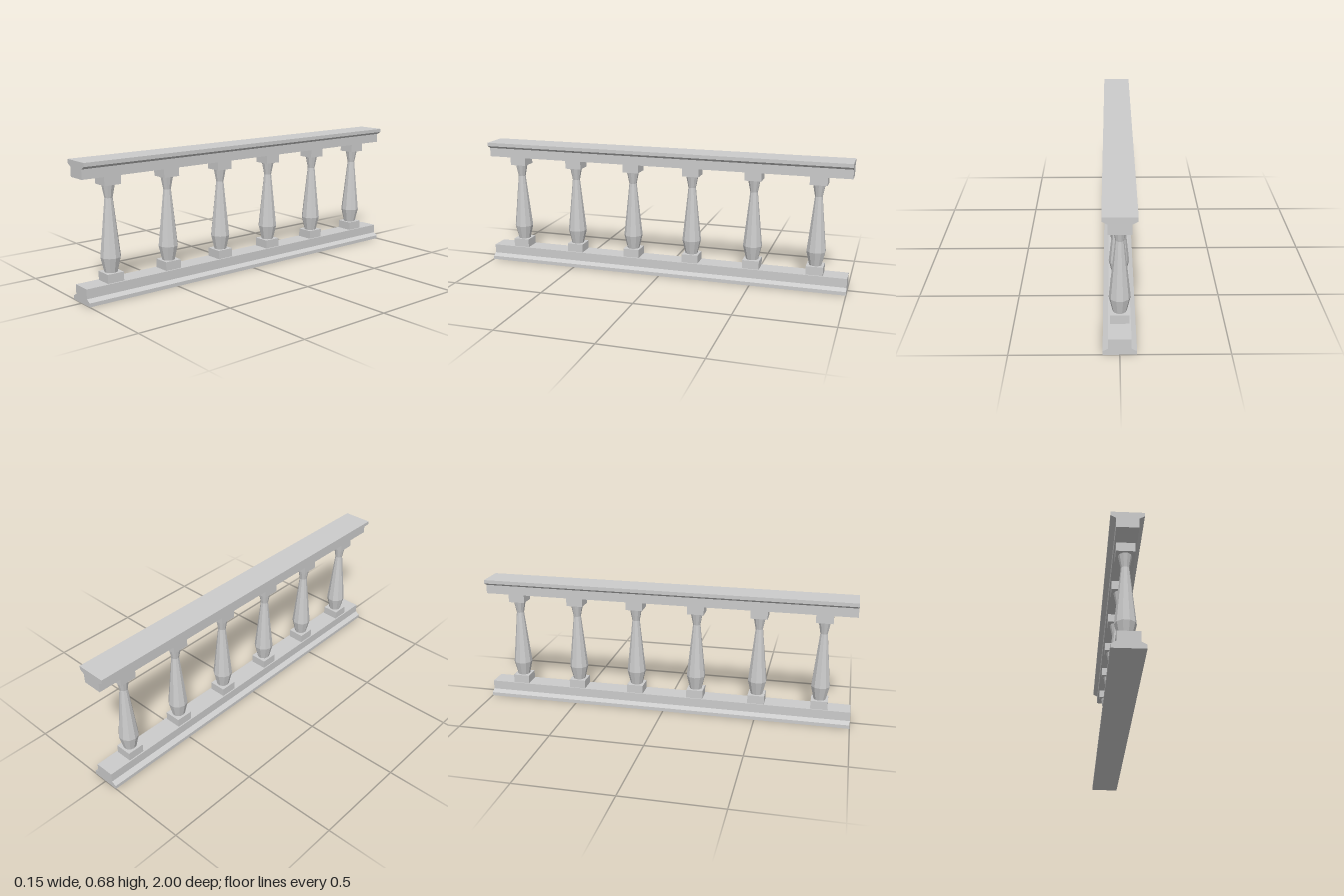
import * as THREE from 'three';

const HEIGHT = 0.682;
const COUNT = 6;
const SPACING = 1 / 3;

export function createModel() {
  const model = new THREE.Group();
  model.name = 'balustrade';
  const material = new THREE.MeshStandardMaterial({ color: 0xcccccc, flatShading: true });

  const addMesh = (parent, geometry, name) => {
    const mesh = new THREE.Mesh(geometry, material);
    mesh.name = name;
    parent.add(mesh);
    return mesh;
  };

  // Rails: one half-profile (half width, distance from the outer face), mirrored in x
  const half = [[0.077, 0], [0.077, 0.019], [0.052, 0.033], [0.052, 0.081]];
  const railGeometry = (toY) => {
    const right = half.map(([x, d]) => new THREE.Vector2(x, toY(d)));
    const left = right.map((p) => new THREE.Vector2(-p.x, p.y)).reverse();
    const shape = new THREE.Shape([...right, ...left]);
    return new THREE.ExtrudeGeometry(shape, { depth: 2, bevelEnabled: false }).translate(0, 0, -1);
  };
  addMesh(model, railGeometry((d) => d), 'bottomRail');
  addMesh(model, railGeometry((d) => HEIGHT - d), 'topRail');

  // Balusters: square blocks with a ten-sided turned shaft between them
  const block = new THREE.BoxGeometry(0.089, 0.045, 0.089);
  const profile = [[0.033, 0.126], [0.0505, 0.2], [0.02, 0.49], [0.033, 0.556]];
  const shaft = new THREE.LatheGeometry(
    profile.map(([r, y]) => new THREE.Vector2(r, y)), 10, Math.PI / 2);

  for (let i = 0; i < COUNT; i++) {
    const baluster = new THREE.Group();
    baluster.name = `baluster${i + 1}`;
    addMesh(baluster, block, 'baseBlock').position.y = 0.1035;
    addMesh(baluster, shaft, 'shaft');
    addMesh(baluster, block, 'capBlock').position.y = 0.5785;
    baluster.position.set(-0.001, 0, (i - (COUNT - 1) / 2) * SPACING + 0.002);
    model.add(baluster);
  }
  return model;
}
